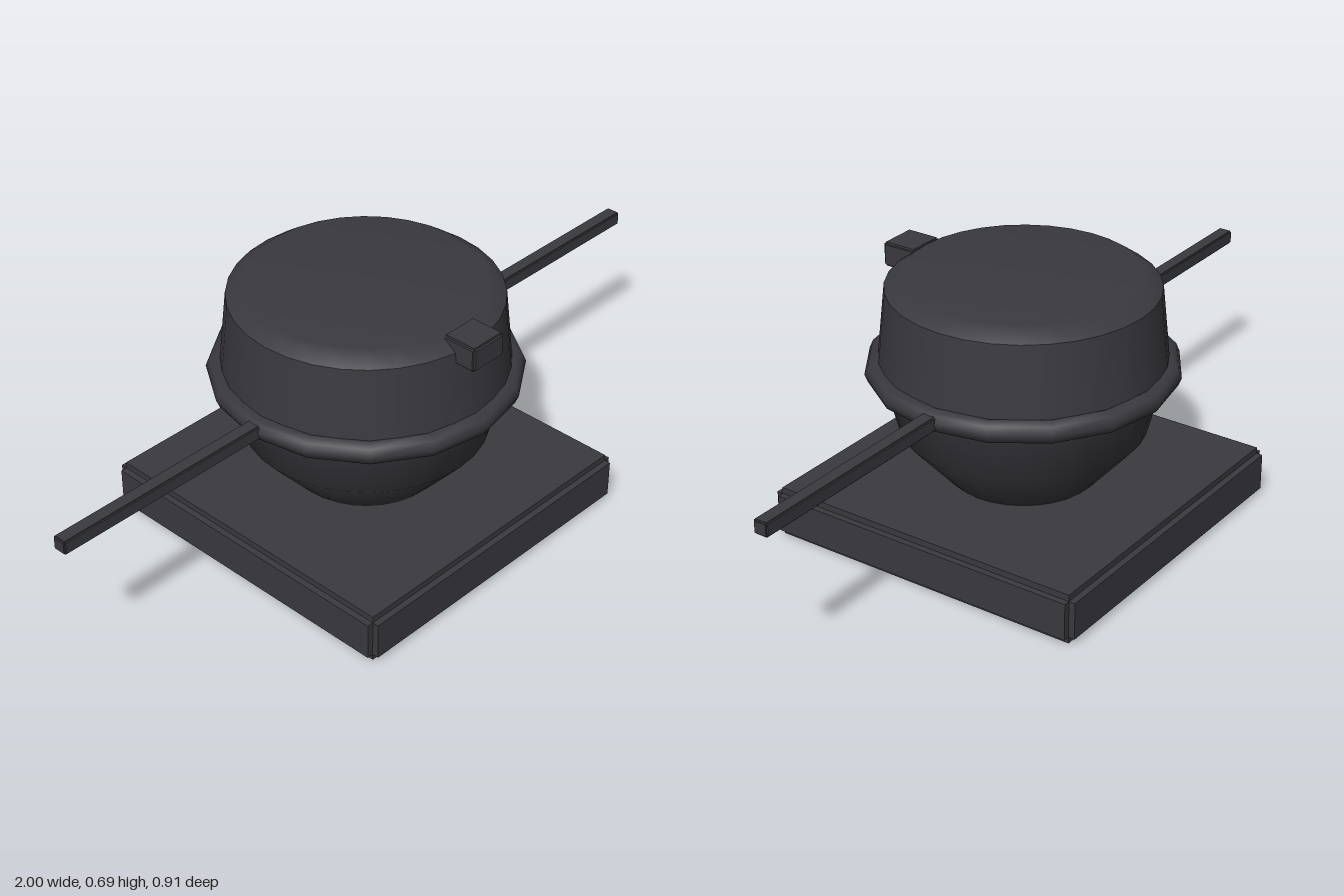
import * as THREE from 'three';

export function createModel() {
  const model = new THREE.Group();
  const dark = new THREE.MeshStandardMaterial({ color: 0x3a393f });
  dark.name = 'charcoal';

  const add = (name, geometry, parent = model) => {
    const mesh = new THREE.Mesh(geometry, dark);
    mesh.name = name;
    parent.add(mesh);
    return mesh;
  };

  // Block whose edges are rebated: one slab per axis reaches full size
  const rebatedBlock = (name, size, centre, step) => {
    const block = new THREE.Group();
    block.name = name;
    for (let axis = 0; axis < 3; axis++) {
      const dims = size.map((s, i) => (i === axis ? s : s - 2 * step));
      add(name + 'Slab', new THREE.BoxGeometry(...dims), block);
    }
    block.position.set(...centre);
    model.add(block);
  };

  const lathe = (name, points) =>
    add(name, new THREE.LatheGeometry(points.map(([r, y]) => new THREE.Vector2(r, y)), 32));

  // Square base
  rebatedBlock('base', [0.914, 0.134, 0.914], [0, 0.067, 0], 0.017);

  // Rounded bowl sinking into the base
  lathe('bowl', [[0, 0.08], [0.19, 0.125], [0.318, 0.27], [0.362, 0.44]]);

  // Tapered lid wall and its bevelled cap
  lathe('lidWall', [[0.369, 0.44], [0.347, 0.653]]);
  lathe('lidCap', [[0.347, 0.653], [0.302, 0.685], [0, 0.685]]);

  // Rim ring round the seam
  const ring = add('rimRing', new THREE.TorusGeometry(0.373, 0.03, 8, 16));
  ring.rotation.x = Math.PI / 2;
  ring.position.y = 0.436;

  // Long side handles
  for (const side of [1, -1]) {
    rebatedBlock(side > 0 ? 'leftHandle' : 'rightHandle',
      [0.65, 0.038, 0.04], [side * 0.675, 0.436, 0], 0.004);
  }

  // Front latch on the lid
  rebatedBlock('latch', [0.108, 0.066, 0.1], [0, 0.653, 0.35], 0.006);

  return model;
}
